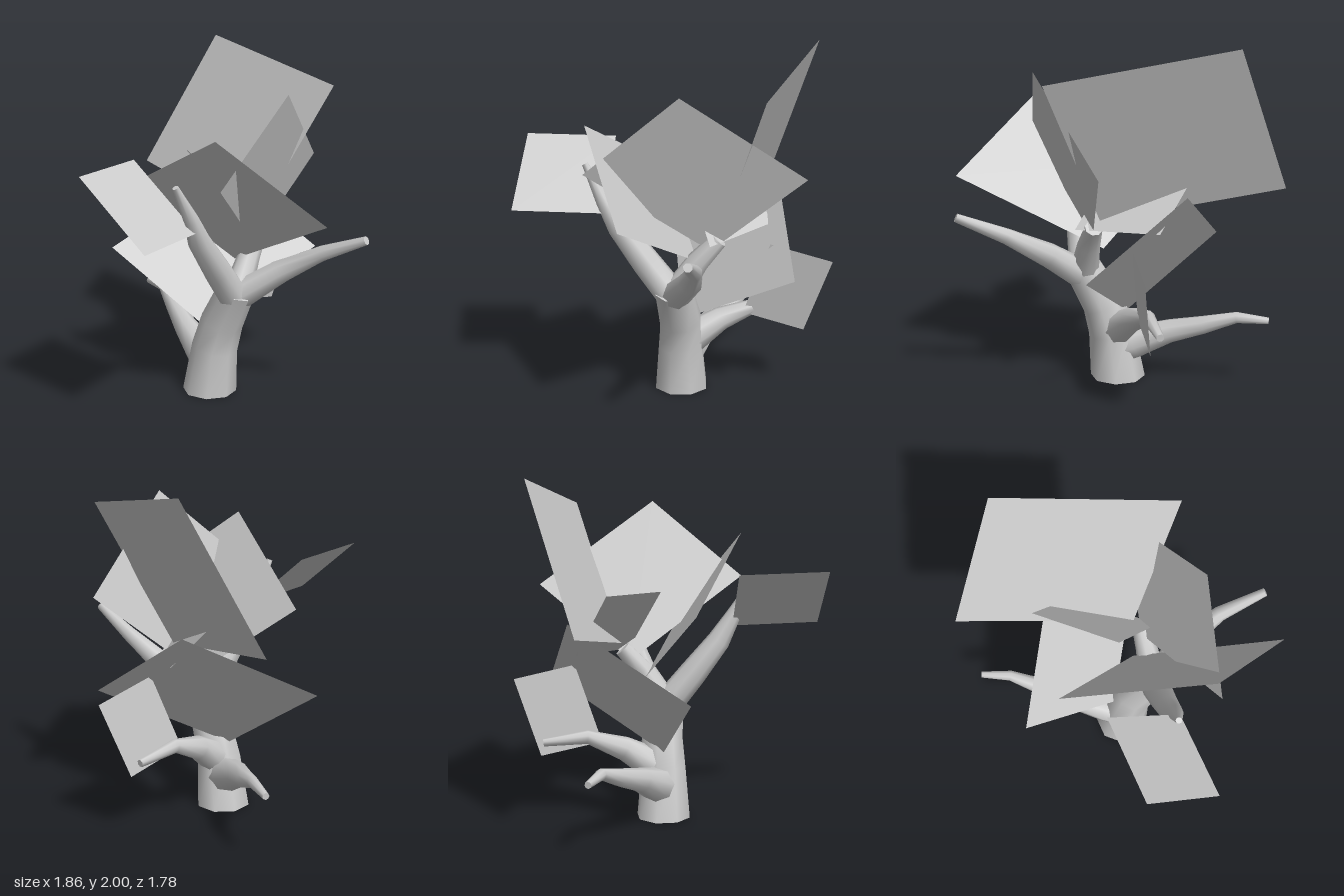
import * as THREE from 'three';

const wood = new THREE.MeshStandardMaterial({ color: 0xcccccc });
const leaf = new THREE.MeshStandardMaterial({ color: 0xcccccc, side: THREE.DoubleSide });
const SIDES = 8;

// Tapered limb swept through stations [x, y, z, radius], closed at both ends
function limb(name, stations, uprightBase = false) {
  const pts = stations.map(s => new THREE.Vector3(s[0], s[1], s[2]));
  const last = pts.length - 1;
  const up = new THREE.Vector3(0, 1, 0);
  const positions = [], index = [];
  let rows = 0;

  const addRow = (i, radius) => {
    const dir = pts[Math.min(i + 1, last)].clone().sub(pts[Math.max(i - 1, 0)]).normalize();
    if (uprightBase && i === 0) dir.copy(up);
    const turn = new THREE.Quaternion().setFromUnitVectors(up, dir);
    for (let k = 0; k < SIDES; k++) {
      const a = (k / SIDES) * Math.PI * 2;
      const v = new THREE.Vector3(Math.cos(a) * radius, 0, Math.sin(a) * radius);
      v.applyQuaternion(turn).add(pts[i]);
      positions.push(v.x, v.y, v.z);
    }
    rows++;
  };
  const joinLastRows = () => {
    const a = (rows - 2) * SIDES, b = (rows - 1) * SIDES;
    for (let k = 0; k < SIDES; k++) {
      const n = (k + 1) % SIDES;
      index.push(a + k, b + k, a + n, a + n, b + k, b + n);
    }
  };

  // Base cap, side wall, tip cap (separate rows keep the rims sharp)
  addRow(0, 0); addRow(0, stations[0][3]); joinLastRows();
  stations.forEach((s, i) => { addRow(i, s[3]); if (i) joinLastRows(); });
  addRow(last, stations[last][3]); addRow(last, 0); joinLastRows();

  const geometry = new THREE.BufferGeometry();
  geometry.setAttribute('position', new THREE.Float32BufferAttribute(positions, 3));
  geometry.setIndex(index);
  geometry.computeVertexNormals();
  const mesh = new THREE.Mesh(geometry, wood);
  mesh.name = name;
  return mesh;
}

// Flat foliage card: a corner and its two neighbours, completed as a parallelogram
function card(name, corner, u, v) {
  const far = corner.map((c, i) => u[i] + v[i] - c);
  const geometry = new THREE.BufferGeometry();
  geometry.setAttribute('position', new THREE.Float32BufferAttribute([...corner, ...u, ...far, ...v], 3));
  geometry.setIndex([0, 1, 2, 0, 2, 3]);
  geometry.computeVertexNormals();
  const mesh = new THREE.Mesh(geometry, leaf);
  mesh.name = name;
  return mesh;
}

export function createModel() {
  const tree = new THREE.Group();
  tree.name = 'tree';

  // Trunk and branches
  tree.add(
    limb('trunk', [
      [0.01, 0, -0.05, 0.16], [0.045, 0.28, -0.06, 0.135],
      [0.09, 0.45, -0.08, 0.125], [0.215, 0.68, -0.09, 0.108],
    ], true),
    limb('frontBranch', [
      [0.2, 0.64, -0.07, 0.09], [0.235, 0.82, 0.07, 0.083],
      [0.27, 1.02, 0.22, 0.068], [0.3, 1.17, 0.3, 0.045], [0.305, 1.37, 0.41, 0.018],
    ]),
    limb('leftBranch', [
      [0.22, 0.64, -0.11, 0.085], [0.38, 0.79, -0.27, 0.07],
      [0.6, 0.93, -0.39, 0.045], [0.86, 1.05, -0.47, 0.025],
    ]),
    limb('backBranch', [
      [0.2, 0.64, -0.1, 0.085], [0.16, 0.84, -0.22, 0.065], [0.12, 0.97, -0.33, 0.05],
    ]),
    limb('lowRightBranch', [
      [0, 0.19, -0.06, 0.11], [-0.1, 0.22, -0.07, 0.1], [-0.3, 0.3, -0.1, 0.07],
      [-0.5, 0.365, -0.16, 0.052], [-0.68, 0.43, -0.21, 0.033], [-0.86, 0.42, -0.225, 0.02],
    ]),
    limb('lowBackBranch', [
      [0.02, 0.3, -0.1, 0.1], [-0.09, 0.42, -0.26, 0.07],
      [-0.19, 0.5, -0.45, 0.04], [-0.27, 0.47, -0.69, 0.022],
    ]),
  );

  // Foliage cards
  tree.add(
    card('topFoliage', [-0.67, 2.0, -0.62], [0.345, 1.81, -0.68], [-0.93, 1.2, -0.265]),
    card('leftFoliage', [-0.345, 1.247, 0.23], [0.505, 1.638, 0.3], [0.08, 0.81, -0.18]),
    card('frontFoliage', [-0.08, 1.453, 0.412], [0.117, 1.464, 0.89], [0.328, 1.102, 0.288]),
    card('rightFoliage', [-0.556, 0.803, 0.255], [-0.04, 0.398, -0.035], [-0.4, 1.19, -0.49]),
    card('sideFoliage', [0.46, 1.82, -0.238], [0.045, 1.347, -0.815], [0.545, 1.374, 0.295]),
    card('middleFoliage', [-0.485, 1.365, -0.235], [-0.005, 1.335, -0.06], [-0.255, 0.985, -0.495]),
    card('backFoliage', [-0.2, 0.82, -0.894], [-0.22, 0.377, -0.725], [-0.11, 0.905, -0.55]),
  );
  return tree;
}
